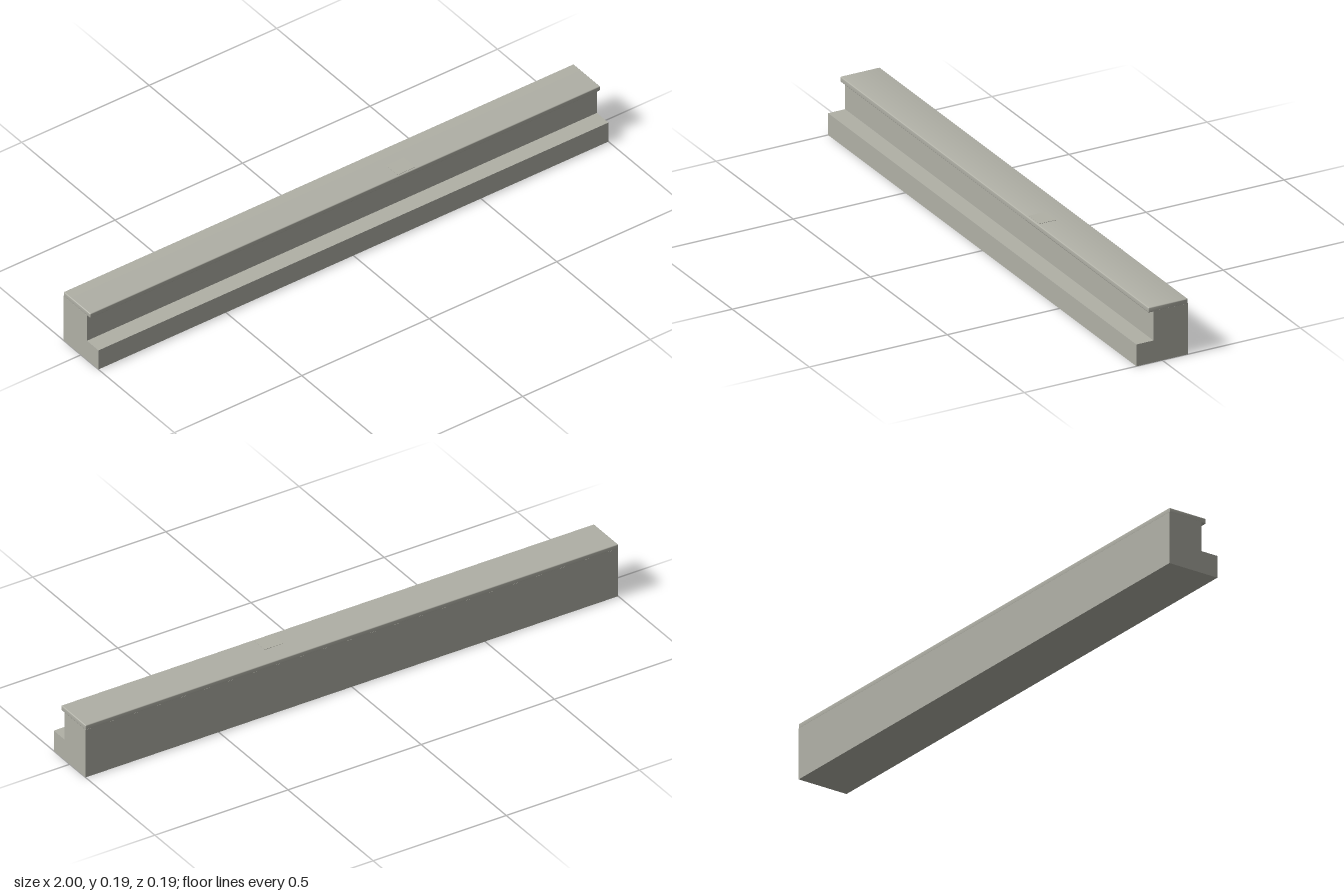
import * as THREE from 'three';
import { RoundedBoxGeometry } from 'three/addons/geometries/RoundedBoxGeometry.js';

const stone = new THREE.MeshStandardMaterial({ name: 'warm grey stone', color: 0xb0b0a6 });

// Slab with rounded edges and slightly crowned normals
function softSlab(w, h, d, r, crownY, crownZ) {
  const geo = new RoundedBoxGeometry(w, h, d, 3, r);
  const p = geo.attributes.position, n = geo.attributes.normal;
  const v = new THREE.Vector3();
  for (let i = 0; i < p.count; i++) {
    v.fromBufferAttribute(n, i);
    v.y += p.getY(i) * crownY;
    v.z += p.getZ(i) * crownZ;
    v.normalize();
    n.setXYZ(i, v.x, v.y, v.z);
  }
  return geo;
}

export function createModel() {
  const model = new THREE.Group();
  model.name = 'steppedLedge';

  const add = (name, geo, x = 0, y = 0, z = 0) => {
    const mesh = new THREE.Mesh(geo, stone);
    mesh.name = name;
    mesh.position.set(x, y, z);
    model.add(mesh);
  };

  // Stepped wall: [z, y] section run along x
  const section = [
    [0.094, 0], [-0.093, 0], [-0.093, 0.178],
    [0.032, 0.178], [0.032, 0.076], [0.094, 0.076],
  ];
  const shape = new THREE.Shape(section.map(([z, y]) => new THREE.Vector2(-z, y)));
  const wall = new THREE.ExtrudeGeometry(shape, { depth: 2, bevelEnabled: false });
  wall.translate(0, 0, -1).rotateY(Math.PI / 2);
  add('steppedWall', wall);

  // Overhanging coping
  add('coping', softSlab(2, 0.018, 0.143, 0.003, 15, 2), 0, 0.185, -0.0215);

  // Barely raised patch on the coping
  add('raisedPatch', new THREE.BoxGeometry(0.07, 0.004, 0.062), 0.245, 0.1929, 0.012);

  return model;
}
